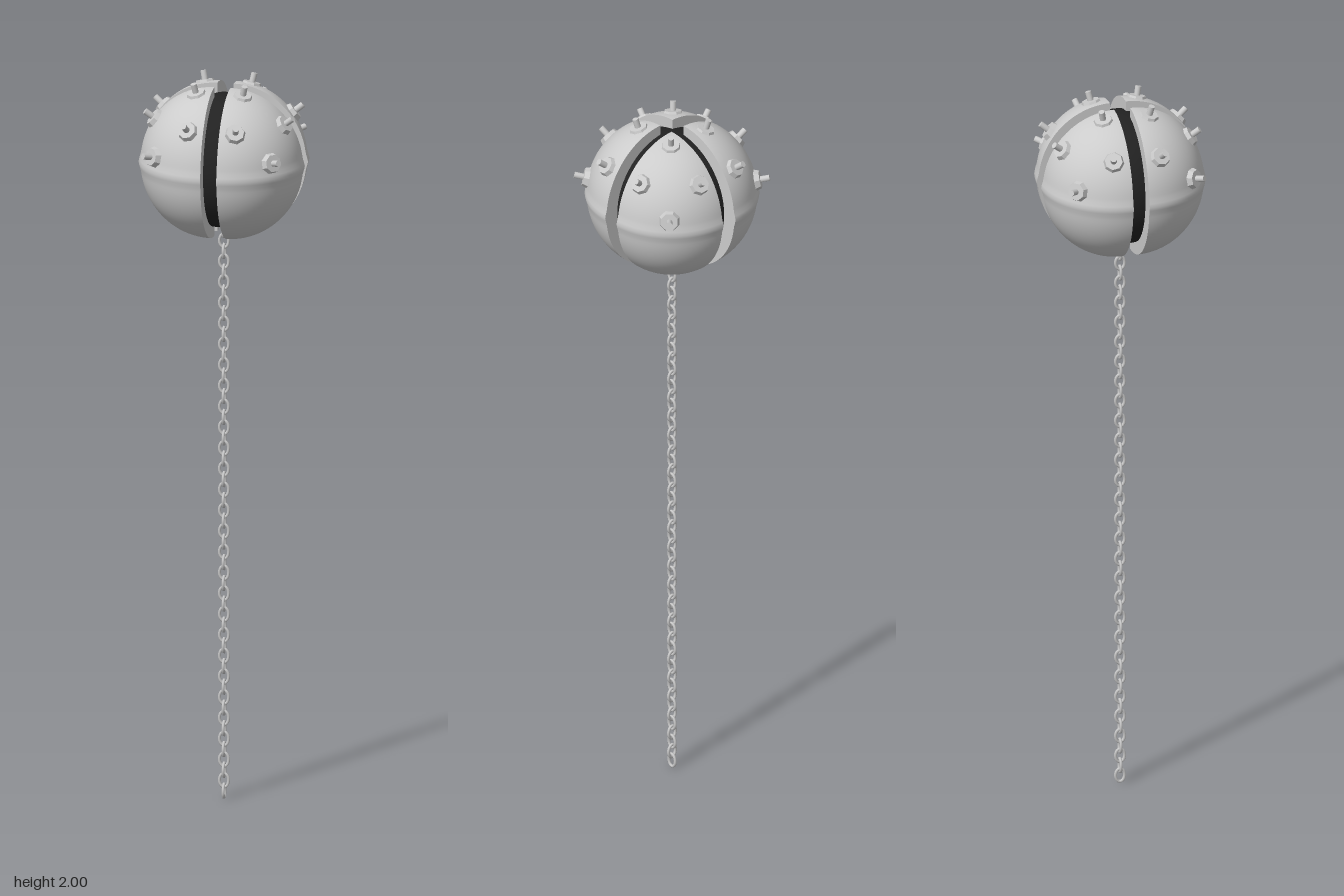
import * as THREE from 'three';

const CENTER = 1.774; // height of the ball's centre
const GAP = 0.022;    // half width of the grooves
const RADIUS = 0.197;

export function createModel() {
  const model = new THREE.Group();
  const grey = new THREE.MeshStandardMaterial({ color: 0xcccccc });
  const faceted = new THREE.MeshStandardMaterial({ color: 0xcccccc, flatShading: true });
  const twoSided = new THREE.MeshStandardMaterial({ color: 0xcccccc, side: THREE.DoubleSide });
  const dark = new THREE.MeshStandardMaterial({ color: 0x222222 });

  const add = (parent, name, geometry, material) => {
    const mesh = new THREE.Mesh(geometry, material);
    mesh.name = name;
    parent.add(mesh);
    return mesh;
  };

  // Dark core seen through the grooves
  add(model, 'core', new THREE.SphereGeometry(0.181, 48, 32), dark).position.y = CENTER;

  // Half profile of the shell, with a low ridge around the equator
  const profile = [];
  const steps = 64;
  for (let i = 0; i <= steps; i++) {
    const a = -Math.PI / 2 + (Math.PI * i) / steps;
    const ridge = 0.005 * Math.exp(-Math.pow(a / 0.07, 2));
    const r = Math.max(0, (RADIUS + ridge) * Math.cos(a));
    profile.push(new THREE.Vector2(r, RADIUS * 1.045 * Math.sin(a)));
  }
  const shellGeometry = new THREE.LatheGeometry(profile, 20, 0, Math.PI / 2);
  const cutGeometry = new THREE.ShapeGeometry(new THREE.Shape(profile));

  // Detonator: eight-sided bevelled plate with a pin
  const plateGeometry = new THREE.CylinderGeometry(0.024, 0.031, 0.02, 8);
  plateGeometry.rotateY(Math.PI / 8);
  plateGeometry.translate(0, 0.2, 0);
  const pinGeometry = new THREE.CylinderGeometry(0.0085, 0.0085, 0.04, 12);
  pinGeometry.translate(0, 0.215, 0);
  const directions = [
    [0.04, 0.19, 0.04],
    [0.043, 0.125, 0.155],
    [0.155, 0.125, 0.043],
    [0.135, 0.042, 0.135],
  ];
  const up = new THREE.Vector3(0, 1, 0);

  // Four shell quarters, each pushed out from the axis
  for (let q = 0; q < 4; q++) {
    const quarter = new THREE.Group();
    quarter.name = 'shellQuarter';
    quarter.position.y = CENTER;
    quarter.rotation.y = (q * Math.PI) / 2;
    const body = new THREE.Group();
    body.name = 'shellBody';
    body.position.set(GAP, 0, GAP);
    quarter.add(body);
    add(body, 'shell', shellGeometry, grey);
    add(body, 'cutFace', cutGeometry, twoSided);
    add(body, 'cutFace', cutGeometry, twoSided).rotation.y = -Math.PI / 2;
    for (const d of directions) {
      const detonator = new THREE.Group();
      detonator.name = 'detonator';
      detonator.quaternion.setFromUnitVectors(up, new THREE.Vector3(...d).normalize());
      add(detonator, 'plate', plateGeometry, faceted);
      add(detonator, 'pin', pinGeometry, grey);
      body.add(detonator);
    }
    model.add(quarter);
  }

  // Anchor chain of oval links, every other one turned a quarter
  const wire = 0.0042;
  const linkHalf = 0.023;
  const oval = [];
  for (let i = 0; i < 12; i++) {
    const a = (i / 12) * Math.PI * 2;
    oval.push(new THREE.Vector3(0.0125 * Math.cos(a), (linkHalf - wire) * Math.sin(a), 0));
  }
  const linkGeometry = new THREE.TubeGeometry(
    new THREE.CatmullRomCurve3(oval, true), 20, wire, 6, true);
  const chain = new THREE.Group();
  chain.name = 'chain';
  for (let i = 0; i < 55; i++) {
    const link = add(chain, 'link', linkGeometry, grey);
    link.position.y = linkHalf + i * 0.0288;
    link.rotation.y = i % 2 ? 0 : Math.PI / 2;
  }
  model.add(chain);

  return model;
}
